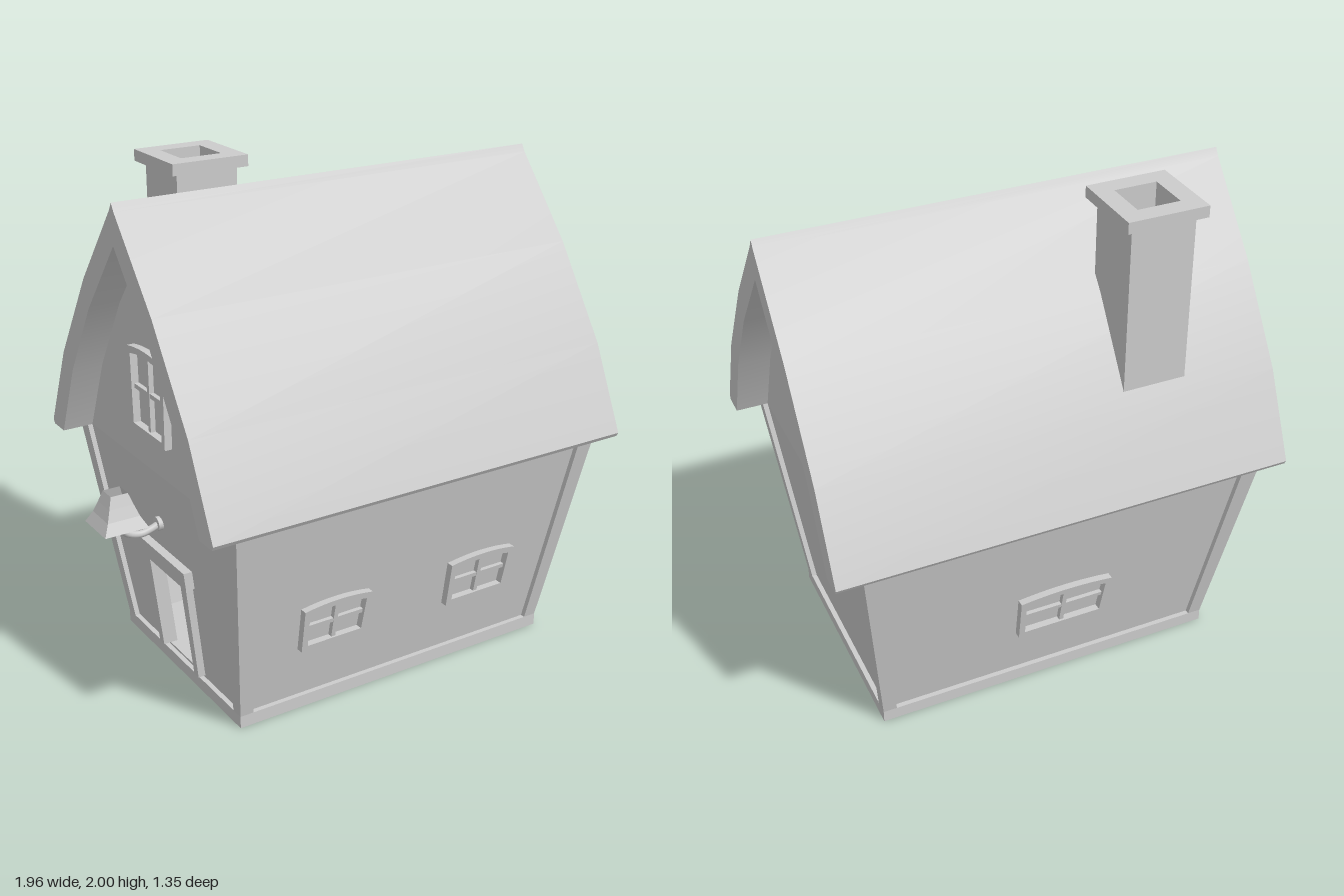
import * as THREE from 'three';
import { toCreasedNormals } from 'three/addons/utils/BufferGeometryUtils.js';

const CX = 0.055; // middle of the house along x
const TOP = 0.89; // eaves height
const RECESS = 0.02; // wall panels sit behind the corner posts

// The walls lean outward from the base beam to the eaves
const rise = (y) => THREE.MathUtils.clamp((y - 0.05) / (TOP - 0.05), 0, 1);
const halfX = (y) => 0.715 + 0.095 * rise(y);
const halfZ = (y) => 0.475 + 0.17 * rise(y);

const material = new THREE.MeshStandardMaterial({ color: 0xcccccc, side: THREE.DoubleSide });

function add(parent, name, geometry) {
  const mesh = new THREE.Mesh(geometry, material);
  mesh.name = name;
  parent.add(mesh);
  return mesh;
}

function box(parent, name, w, h, d, x, y, z) {
  add(parent, name, new THREE.BoxGeometry(w, h, d)).position.set(x, y, z);
}

function polygon(points) {
  return new THREE.Shape(points.map(([x, y]) => new THREE.Vector2(x, y)));
}

function rect(x0, y0, x1, y1) {
  return polygon([[x0, y0], [x1, y0], [x1, y1], [x0, y1]]);
}

// Extrudes a flat shape and lays it on a leaning wall; u runs to the right seen from outside
function onWall(parent, name, side, shape, from, to) {
  const g = new THREE.ExtrudeGeometry(shape, { depth: to - from, bevelEnabled: false, curveSegments: 8 });
  const p = g.attributes.position;
  for (let i = 0; i < p.count; i++) {
    const u = p.getX(i), y = p.getY(i), d = p.getZ(i) + from - RECESS;
    if (side === 'front') p.setXYZ(i, CX + u, y, halfZ(y) + d);
    if (side === 'back') p.setXYZ(i, CX - u, y, -halfZ(y) - d);
    if (side === 'right') p.setXYZ(i, CX + halfX(y) + d, y, -u);
    if (side === 'left') p.setXYZ(i, CX - halfX(y) - d, y, u);
  }
  g.computeVertexNormals();
  return add(parent, name, g);
}

// Slightly crooked window: wider at the top, with a bowed head and crossed bars
function addWindow(parent, side, u, y, w, h) {
  const group = new THREE.Group();
  group.name = side + 'Window';
  const outline = (inset) => {
    const a = w * 0.48 - inset, b = w * 0.5 - inset;
    const low = y + inset, high = y + h - inset - 0.015;
    const s = new THREE.Shape();
    s.moveTo(u - a, low);
    s.lineTo(u + a, low);
    s.lineTo(u + b, high);
    s.quadraticCurveTo(u, high + 0.03, u - b, high);
    s.closePath();
    return s;
  };
  const frame = outline(0);
  frame.holes.push(outline(0.024));
  onWall(group, 'windowFrame', side, frame, -0.005, 0.03);
  const t = 0.009, mid = y + h * 0.5;
  onWall(group, 'windowUpright', side, rect(u - t, y + 0.02, u + t, y + h - 0.02), -0.005, 0.02);
  onWall(group, 'windowCrossbar', side, rect(u - w * 0.47, mid - t, u + w * 0.47, mid + t), -0.005, 0.018);
  parent.add(group);
}

function addWalls(house) {
  // Base beams and floor
  for (const s of [-1, 1]) {
    box(house, 'longBaseBeam', 1.43, 0.05, 0.055, CX, 0.025, s * 0.4475);
    box(house, 'shortBaseBeam', 0.055, 0.05, 0.84, CX + s * 0.6875, 0.025, 0);
  }
  box(house, 'floor', 1.32, 0.02, 0.84, CX, 0.04, 0);

  // Leaning corner posts
  for (const sx of [-1, 1]) for (const sz of [-1, 1]) {
    const g = new THREE.BoxGeometry(1, TOP - 0.05, 1).toNonIndexed();
    g.translate(0, (TOP + 0.05) / 2, 0);
    const p = g.attributes.position;
    for (let i = 0; i < p.count; i++) {
      const y = p.getY(i), w = 0.055 + 0.015 * rise(y);
      p.setX(i, CX + sx * (halfX(y) - w / 2) + p.getX(i) * w);
      p.setZ(i, sz * (halfZ(y) - w / 2) + p.getZ(i) * w);
    }
    g.computeVertexNormals();
    add(house, 'cornerPost', g);
  }

  // Wall panels, with a doorway on the left-hand gable end
  for (const side of ['front', 'back', 'left', 'right']) {
    const half = side === 'front' || side === 'back' ? halfX : halfZ;
    const a = half(0.05) - 0.03, b = half(TOP) - 0.03;
    const shape = polygon([[-a, 0.05], [a, 0.05], [b, TOP], [-b, TOP]]);
    if (side === 'left') shape.holes.push(rect(-0.13, 0.06, 0.13, 0.47));
    onWall(house, side + 'Wall', side, shape, -0.03, 0);
  }

  // Upright gables under the roof
  const gable = [[-0.58, TOP], [0.58, TOP], [0.45, 1.19], [0.26, 1.49], [0, 1.81], [-0.26, 1.49], [-0.45, 1.19]];
  for (const side of ['left', 'right']) onWall(house, side + 'Gable', side, polygon(gable), -0.03, 0);
}

function addRoof(house) {
  // Half section of the bowed roof: outer skin down to the eave, then the underside back up
  const outer = [[0.018, 1.915], [0.28, 1.6], [0.52, 1.24], [0.675, 0.905], [0.665, 0.888]];
  const inner = [[0.575, 0.888], [0.44, 1.19], [0.25, 1.49]];
  const mirror = (pts) => pts.map(([z, y]) => [-z, y]).reverse();
  const section = polygon([[0, 1.945], ...outer, ...inner, [0, 1.79], ...mirror(inner), ...mirror(outer)]);
  const g = new THREE.ExtrudeGeometry(section, { depth: 1.835, bevelEnabled: false });
  g.rotateY(-Math.PI / 2);
  g.translate(0.975, 0, 0);
  add(house, 'roof', toCreasedNormals(g, 0.3));
}

function addChimney(house) {
  const tube = (name, half, y0, y1) => {
    const s = rect(-half, -half, half, half);
    s.holes.push(rect(-0.085, -0.085, 0.085, 0.085));
    const g = new THREE.ExtrudeGeometry(s, { depth: y1 - y0, bevelEnabled: false });
    g.rotateX(-Math.PI / 2);
    add(house, name, g).position.set(-0.357, y0, -0.36);
  };
  tube('chimneyShaft', 0.128, 1.15, 1.955);
  tube('chimneyCap', 0.16, 1.955, 2);
  box(house, 'flueBottom', 0.18, 0.02, 0.18, -0.357, 1.75, -0.36);
}

function addDoorway(house) {
  const door = new THREE.Group();
  door.name = 'doorway';
  for (const s of [-1, 1]) {
    const jamb = polygon([[s * 0.13, 0.06], [s * 0.165, 0.06], [s * 0.175, 0.49], [s * 0.13, 0.49]]);
    onWall(door, 'doorJamb', 'left', jamb, -0.03, 0.03);
  }
  onWall(door, 'doorLintel', 'left', rect(-0.23, 0.47, 0.19, 0.545), -0.03, 0.036);
  house.add(door);
}

function addLamp(house) {
  const lamp = new THREE.Group();
  lamp.name = 'wallLamp';
  // Four-sided flared shade, open at both ends
  const profile = [[0.09, 0], [0.066, 0.045], [0.05, 0.09], [0.035, 0.135]]
    .map(([r, y]) => new THREE.Vector2(r * Math.SQRT2, y));
  const shade = new THREE.LatheGeometry(profile, 4, Math.PI / 4).toNonIndexed();
  shade.computeVertexNormals();
  add(lamp, 'lampShade', shade).position.set(-0.89, 0.703, -0.035);
  // Curved bracket back to the wall
  const path = new THREE.CatmullRomCurve3([
    [-0.89, 0.79], [-0.885, 0.72], [-0.86, 0.66], [-0.8, 0.636], [-0.75, 0.645], [-0.7, 0.665],
  ].map(([x, y]) => new THREE.Vector3(x, y, -0.035)));
  add(lamp, 'lampBracket', new THREE.TubeGeometry(path, 24, 0.015, 8));
  add(lamp, 'lampBulb', new THREE.SphereGeometry(0.022, 10, 8)).position.set(-0.89, 0.785, -0.035);
  const plate = new THREE.CylinderGeometry(0.028, 0.028, 0.02, 12).rotateZ(Math.PI / 2);
  add(lamp, 'lampPlate', plate).position.set(-0.718, 0.66, -0.035);
  house.add(lamp);
}

export function createModel() {
  const house = new THREE.Group();
  house.name = 'cottage';
  addWalls(house);
  addRoof(house);
  addChimney(house);
  addDoorway(house);
  addLamp(house);
  addWindow(house, 'front', -0.335, 0.28, 0.3, 0.205);
  addWindow(house, 'front', 0.345, 0.272, 0.31, 0.213);
  addWindow(house, 'back', 0.03, 0.275, 0.39, 0.22);
  addWindow(house, 'left', 0.005, 1.04, 0.29, 0.34);
  return house;
}
